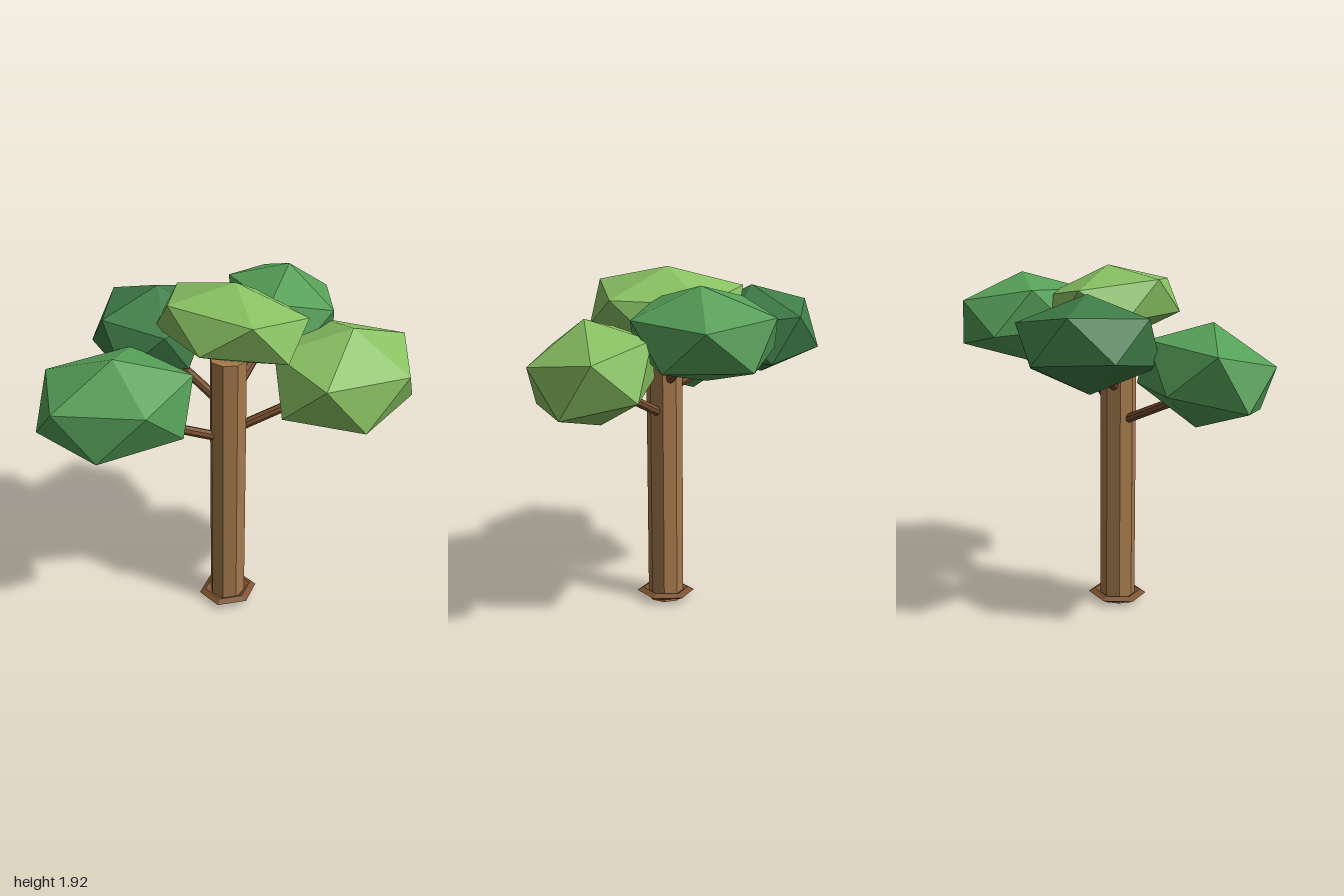
import * as THREE from 'three';

const mat = (color) => new THREE.MeshStandardMaterial({ color, flatShading: true });
const BARK = mat(0xa5794c), BRANCH = mat(0x7d5230);
const LIGHT = mat(0x88c062), MID = mat(0x56a058), DARK = mat(0x3f7d48);
const TRUNK_X = 0.01, TRUNK_Z = 0.145;

// Each leaf clump is a skewed icosahedron, given by its centre and
// the three corners (relative to it) of one upper face, counterclockwise.
const CLUMPS = [
  { name: 'leavesFrontRight', m: MID, c: [-0.598, 1.382, 0.29],
    face: [[0, 0.27, 0.05], [-0.322, 0.068, 0.206], [0.13, 0.068, 0.323]] },
  { name: 'leavesFrontLeft', m: LIGHT, c: [0.608, 1.435, 0.26],
    face: [[0.02, 0.275, 0.03], [0.28, 0.063, 0.21], [0.377, 0.123, -0.205]] },
  { name: 'leavesTop', m: LIGHT, c: [0.027, 1.711, 0.118],
    face: [[0.026, 0.209, -0.016], [-0.334, 0.145, 0.079], [0.04, 0.123, 0.387]] },
  { name: 'leavesBackLeft', m: MID, c: [0.37, 1.63, -0.245],
    face: [[0.038, 0.246, 0], [0.289, 0.053, -0.139], [-0.015, 0.104, -0.385]] },
  { name: 'leavesBackRight', m: DARK, c: [-0.35, 1.548, -0.257],
    face: [[0.043, 0.25, 0.017], [-0.177, 0.159, -0.22], [-0.27, 0.142, 0.193]] },
];

// Branches leave the trunk axis and end inside a clump
const BRANCHES = [
  { name: 'branchFrontRight', y: 1.045, end: [-0.55, 1.28, 0.26] },
  { name: 'branchFrontLeft', y: 1.09, end: [0.55, 1.35, 0.21] },
  { name: 'branchBackLeft', y: 1.26, end: [0.33, 1.56, -0.2] },
  { name: 'branchBackRight', y: 1.225, end: [-0.3, 1.45, -0.2] },
];

const basis = (a, b, c) => new THREE.Matrix4().makeBasis(a, b, c);

function leafClump({ name, m, c, face }) {
  const geo = new THREE.IcosahedronGeometry(1, 0);
  const pos = geo.attributes.position;
  const corner = (i) => new THREE.Vector3().fromBufferAttribute(pos, i);
  // Linear map taking the first face of the solid to the wanted face
  const from = basis(corner(0), corner(1), corner(2)).invert();
  const to = basis(...face.map((p) => new THREE.Vector3(...p)));
  geo.applyMatrix4(to.multiply(from));
  geo.computeVertexNormals();
  const mesh = new THREE.Mesh(geo, m);
  mesh.name = name;
  mesh.position.set(...c);
  return mesh;
}

function branch({ name, y, end }) {
  const a = new THREE.Vector3(TRUNK_X, y, TRUNK_Z);
  const b = new THREE.Vector3(...end);
  const dir = b.clone().sub(a);
  const mesh = new THREE.Mesh(new THREE.CylinderGeometry(0.025, 0.027, dir.length(), 8), BRANCH);
  mesh.name = name;
  mesh.position.copy(a).add(b).multiplyScalar(0.5);
  mesh.quaternion.setFromUnitVectors(new THREE.Vector3(0, 1, 0), dir.normalize());
  return mesh;
}

export function createModel() {
  const tree = new THREE.Group();
  tree.name = 'tree';

  // Eight-sided trunk
  const trunk = new THREE.Mesh(new THREE.CylinderGeometry(0.1, 0.1, 1.52, 8), BARK);
  trunk.name = 'trunk';
  trunk.position.set(TRUNK_X, 0.76, TRUNK_Z);
  trunk.rotation.y = THREE.MathUtils.degToRad(20);
  tree.add(trunk);

  // Flat, slightly tilted six-sided ring at the foot
  const ringGeo = new THREE.TorusGeometry(0.13, 0.035, 4, 6);
  ringGeo.rotateX(Math.PI / 2).scale(1, 0.5, 1);
  const ring = new THREE.Mesh(ringGeo, BRANCH);
  ring.name = 'rootRing';
  ring.position.set(TRUNK_X + 0.002, 0.036, TRUNK_Z);
  ring.rotation.z = 0.06;
  tree.add(ring);

  BRANCHES.forEach((b) => tree.add(branch(b)));
  CLUMPS.forEach((c) => tree.add(leafClump(c)));
  return tree;
}
